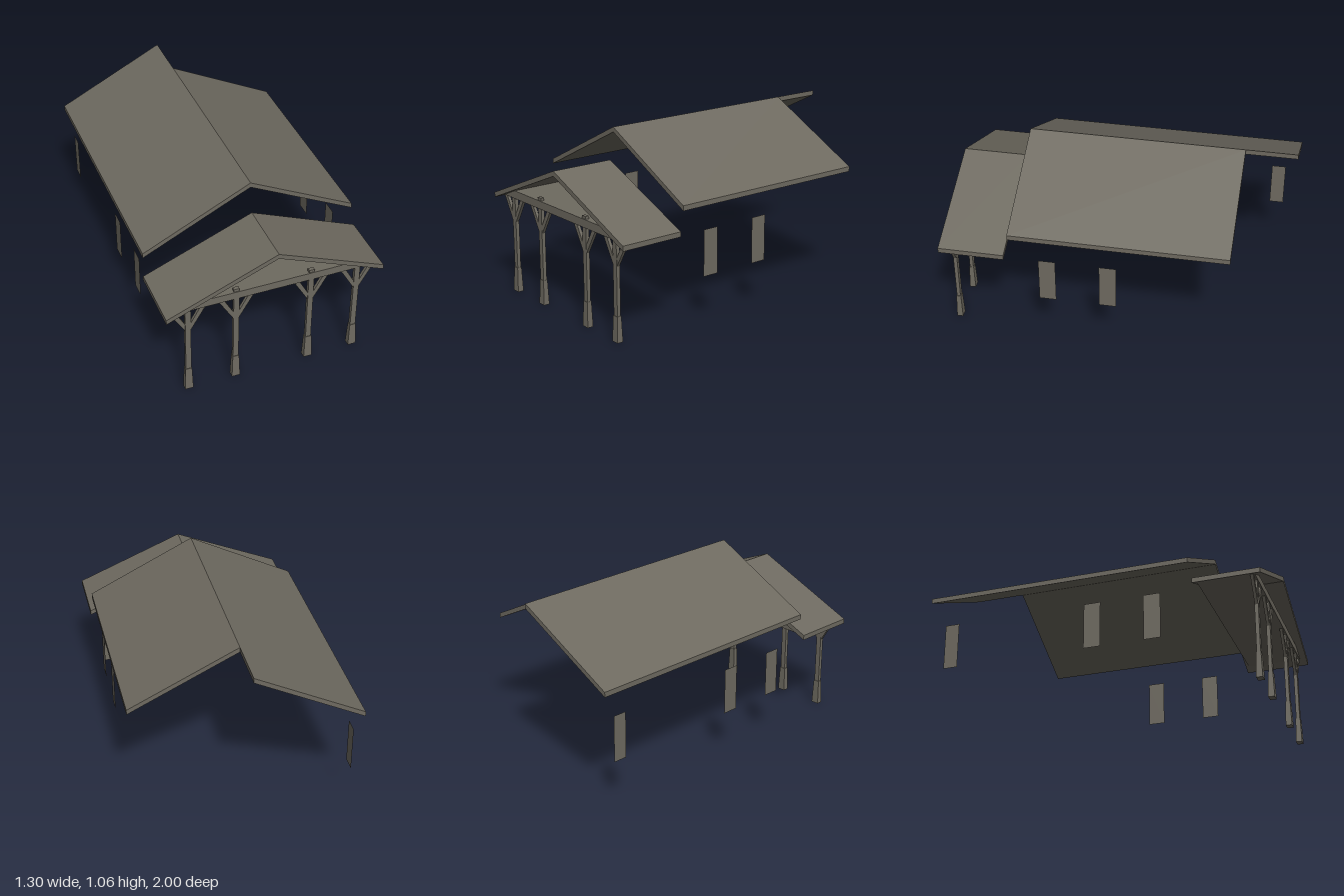
import * as THREE from 'three';

const timber = new THREE.MeshStandardMaterial({ color: 0x6e6a60 });
timber.name = 'weathered timber';
const panel = new THREE.MeshStandardMaterial({ color: 0x6e6a60, side: THREE.DoubleSide });
panel.name = 'window panel';

// Extrudes an outline in the xy plane from z0 to z1
function slab(name, points, z0, z1) {
  const shape = new THREE.Shape(points.map(([x, y]) => new THREE.Vector2(x, y)));
  const geometry = new THREE.ExtrudeGeometry(shape, { depth: z1 - z0, bevelEnabled: false });
  geometry.translate(0, 0, z0);
  const mesh = new THREE.Mesh(geometry, timber);
  mesh.name = name;
  return mesh;
}

// One sloping half of a gable roof, with upright cuts at ridge and eave
function roofHalf(name, side, halfWidth, ridge, eave, thick, z0, z1) {
  return slab(name, [
    [0, ridge], [side * halfWidth, eave],
    [side * halfWidth, eave - thick], [0, ridge - thick],
  ], z0, z1);
}

const POST_Z = 0.944;

function post(x, top) {
  const group = new THREE.Group();
  group.name = 'porchPost';

  const shaft = new THREE.Mesh(new THREE.BoxGeometry(0.033, top - 0.14, 0.022), timber);
  shaft.position.y = (top + 0.14) / 2;
  shaft.name = 'postShaft';

  // Flared foot, wider at the ground
  const footGeometry = new THREE.BoxGeometry(0.049, 0.152, 0.037);
  const p = footGeometry.attributes.position;
  for (let i = 0; i < p.count; i++) {
    if (p.getY(i) > 0) p.setXYZ(i, p.getX(i) * 0.78, p.getY(i), p.getZ(i) * 0.74);
  }
  footGeometry.computeVertexNormals();
  const foot = new THREE.Mesh(footGeometry, timber);
  foot.position.y = 0.076;
  foot.name = 'postFoot';
  group.add(shaft, foot);

  // Diagonal braces up to the beam
  for (const s of [-1, 1]) {
    group.add(slab('postBrace', [
      [s * 0.01, 0.43], [s * 0.105, 0.592], [s * 0.073, 0.592], [s * 0.01, 0.478],
    ], -0.009, 0.009));
  }
  group.position.set(x, 0, POST_Z);
  return group;
}

export function createModel() {
  const model = new THREE.Group();
  model.name = 'gabledShelter';

  // Main roof: one half runs further back than the other
  const mainRoof = new THREE.Group();
  mainRoof.name = 'mainRoof';
  mainRoof.add(
    roofHalf('mainRoofRight', -1, 0.64, 1.06, 0.74, 0.03, -1, 0.585),
    roofHalf('mainRoofLeft', 1, 0.64, 1.06, 0.74, 0.03, -0.695, 0.585),
  );

  // Porch roof and the flat ceiling between its slopes
  const porchRoof = new THREE.Group();
  porchRoof.name = 'porchRoof';
  porchRoof.add(
    roofHalf('porchRoofRight', -1, 0.65, 0.87, 0.6, 0.03, 0.61, 1),
    roofHalf('porchRoofLeft', 1, 0.65, 0.87, 0.6, 0.03, 0.61, 1),
    slab('porchCeiling', [[-0.6, 0.59], [0.6, 0.59], [0.485, 0.638], [-0.485, 0.638]], 0.63, 0.96),
  );
  model.add(mainRoof, porchRoof);

  // Porch posts, the inner pair rising through the ceiling
  for (const s of [-1, 1]) {
    model.add(post(s * 0.51, 0.62), post(s * 0.225, 0.655));
  }

  // Flat window panels along both sides: [side, z, width]
  const windows = [
    [-1, 0.365, 0.1], [1, 0.365, 0.1],
    [-1, 0.008, 0.1], [1, 0.008, 0.1],
    [-1, -0.868, 0.086],
  ];
  for (const [s, z, width] of windows) {
    const pane = new THREE.Mesh(new THREE.PlaneGeometry(width, 0.277), panel);
    pane.rotation.y = s * Math.PI / 2;
    pane.position.set(s * 0.61, 0.422, z);
    pane.name = 'sideWindow';
    model.add(pane);
  }
  return model;
}
